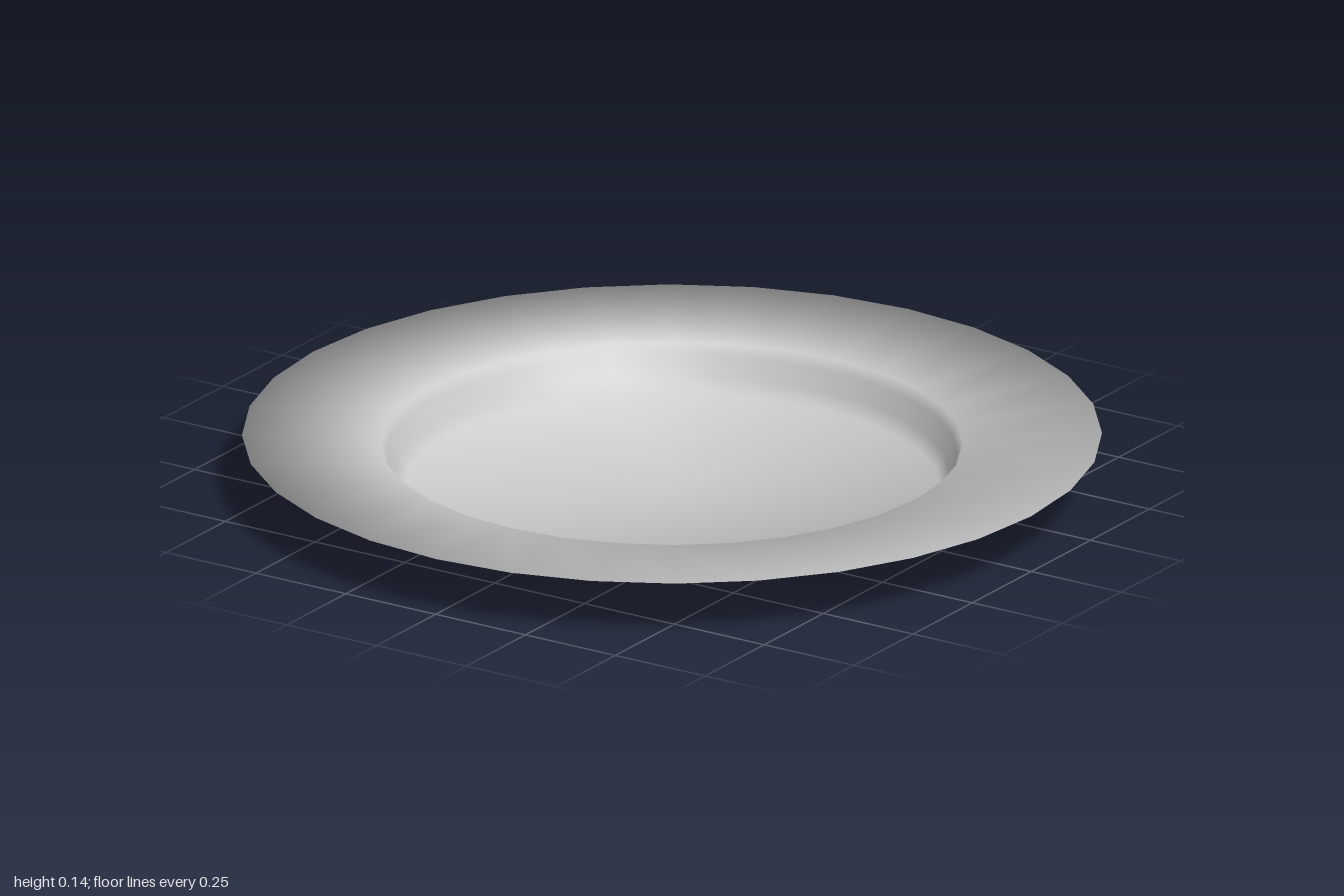
import * as THREE from 'three';

// Lathe whose smooth normals weigh the neighbouring profile segments equally
function smoothLathe(points, sides) {
  const geometry = new THREE.LatheGeometry(points, sides);
  const segmentNormals = points.slice(1).map((p, i) =>
    new THREE.Vector2(p.y - points[i].y, points[i].x - p.x).normalize());
  const normal = geometry.attributes.normal;
  points.forEach((p, j) => {
    const before = segmentNormals[Math.max(j - 1, 0)];
    const after = segmentNormals[Math.min(j, segmentNormals.length - 1)];
    const n = before.clone().add(after).normalize();
    for (let i = 0; i <= sides; i++) {
      const angle = (i / sides) * Math.PI * 2;
      normal.setXYZ(i * points.length + j, n.x * Math.sin(angle), n.y, n.x * Math.cos(angle));
    }
  });
  return geometry;
}

export function createModel() {
  const group = new THREE.Group();
  group.name = 'dinnerPlate';

  // Thin closed profile: underside from centre to rim edge, then the top back to centre
  const profile = [
    [0, 0], [0.628, 0],      // base
    [0.68, 0.108],           // outer wall
    [1, 0.137],              // thin rim edge
    [0.677, 0.113],          // inner lip
    [0.665, 0.086],          // steep band of the inner wall
    [0.645, 0.042],
    [0.626, 0.004],          // floor edge
    [0, 0.004],              // floor centre
  ].map(([r, y]) => new THREE.Vector2(r, y));

  const plate = new THREE.Mesh(
    smoothLathe(profile, 32),
    new THREE.MeshStandardMaterial({ color: 0xcccccc })
  );
  plate.name = 'plate';
  group.add(plate);
  return group;
}
